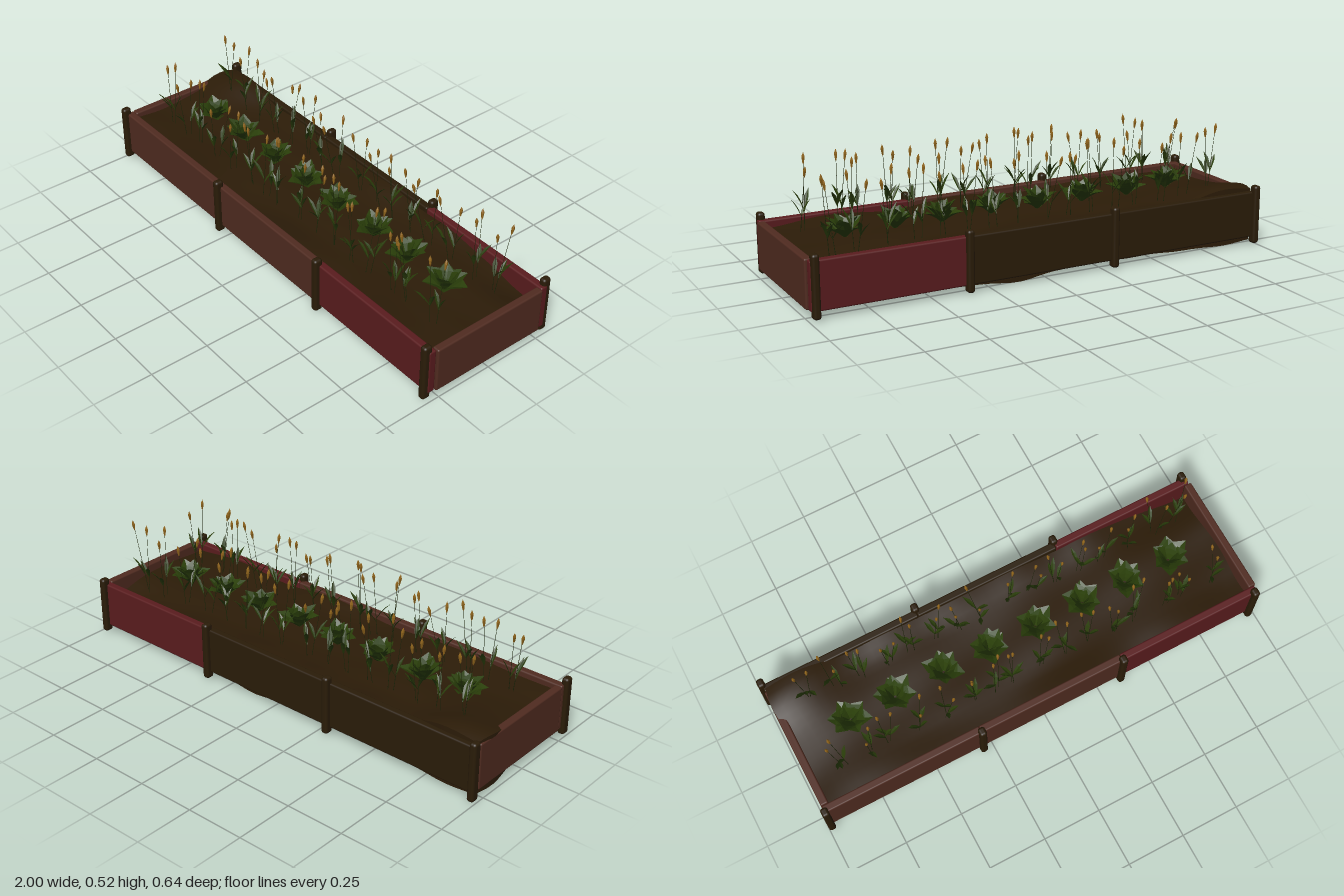
import * as THREE from 'three';
import { mergeGeometries, toCreasedNormals } from 'three/addons/utils/BufferGeometryUtils.js';
import { RoundedBoxGeometry } from 'three/addons/geometries/RoundedBoxGeometry.js';

const material = (name, color, extra = {}) => {
  const m = new THREE.MeshStandardMaterial({ color, ...extra });
  m.name = name;
  return m;
};

// Small seeded random source
function seeded(seed) {
  let s = seed;
  return (lo = 0, hi = 1) => {
    s = (s * 16807) % 2147483647;
    return lo + (hi - lo) * (s / 2147483647);
  };
}

const bell = (v, centre, width) => Math.exp(-(((v - centre) / width) ** 2));

// Height of the soil surface
function soilTop(x, z) {
  const dip = -0.035 * bell(x, 0.9, 0.25) * bell(z, -0.27, 0.12);
  const mound = 0.05 * bell(x, -0.87, 0.18) * bell(z, -0.2, 0.14);
  const ridge = 0.017 * bell(z, -0.27, 0.07) * (bell(x, -0.15, 0.5) + 0.5 * Math.sin(10 * x) ** 2);
  const frontRidge = 0.018 * bell(z, 0.27, 0.06) * Math.sin(5 * x + 1) ** 2;
  return 0.203 + dip + mound + ridge + frontRidge + 0.005 * Math.sin(9 * x + 11 * z) * Math.cos(14 * z - 4 * x);
}

function soilBottom(x, z) {
  const reach = THREE.MathUtils.clamp((0.3 - z) / 0.3, 0.15, 1);
  const sag = 0.022 * bell(x, 0.14, 0.15) + 0.016 * bell(x, -0.8, 0.28) + 0.004 * Math.sin(13 * x) ** 2;
  return 0.029 - reach * sag * (1 + 0.08 * Math.sin(30 * z));
}

// Lumpy block of earth with uneven sides
function soilGeometry() {
  const g = new THREE.BoxGeometry(1.92, 1, 0.53, 48, 1, 16);
  const p = g.attributes.position;
  for (let i = 0; i < p.count; i++) {
    const x = p.getX(i), y = p.getY(i), z = p.getZ(i);
    const bulge = -0.018 * bell(x, -0.96, 0.1) * bell(z, -0.2, 0.12);
    const sideX = 0.006 * Math.sin(17 * z + 1) * Math.abs(x) + bulge;
    const narrow = 1 - (z < 0 && y > 0 ? 0.07 : 0.02) * bell(x, 0.95, 0.25)
      + (z < 0 ? 0.05 : 0) * bell(x, -0.82, 0.15);
    p.setXYZ(i, x + sideX - 0.006, y > 0 ? soilTop(x, z) : soilBottom(x, z),
      z * (narrow + 0.01 * Math.sin(11 * x)));
  }
  return toCreasedNormals(g, 0.8);
}

// Creased leaf growing outward along +z, starting at angle lean from vertical
function leaf(length, width, lean, bend, tip = 0) {
  const steps = [[0, 0.25], [0.35, 0.85], [0.65, 1], [1, tip]];
  const rows = [];
  let y = 0, z = 0, last = 0;
  for (const [t, w] of steps) {
    const a = lean + bend * t;
    y += (t - last) * length * Math.cos(a);
    z += (t - last) * length * Math.sin(a);
    last = t;
    const half = width * w / 2;
    const fold = half * 0.35;
    rows.push([[-half, y + fold * Math.sin(a), z - fold * Math.cos(a)], [0, y, z],
      [half, y + fold * Math.sin(a), z - fold * Math.cos(a)]]);
  }
  const out = [];
  for (let r = 0; r < rows.length - 1; r++) {
    for (let c = 0; c < 2; c++) {
      const a = rows[r][c], b = rows[r][c + 1], d = rows[r + 1][c], e = rows[r + 1][c + 1];
      out.push(...a, ...b, ...e, ...a, ...e, ...d);
    }
  }
  const g = new THREE.BufferGeometry();
  g.setAttribute('position', new THREE.Float32BufferAttribute(out, 3));
  g.computeVertexNormals();
  return g;
}

export function createModel() {
  const model = new THREE.Group();
  model.name = 'planterBed';
  const brown = material('brownWood', 0x502b20);
  const red = material('redWood', 0x5a1c1e);
  const dark = material('darkWood', 0x2a1c08);
  const earth = material('earth', 0x2c1c08);
  const leafy = { side: THREE.DoubleSide, flatShading: true };
  const rosetteGreen = material('rosetteGreen', 0x2b400a, leafy);
  const bladeGreen = material('bladeGreen', 0x2a3d0a, leafy);
  const stemGreen = material('stemGreen', 0x1e2608);
  const seedBrown = material('seedBrown', 0x91651c, { flatShading: true });

  const add = (name, geometry, mat, x = 0, y = 0, z = 0, parent = model) => {
    const mesh = new THREE.Mesh(geometry, mat);
    mesh.name = name;
    mesh.position.set(x, y, z);
    parent.add(mesh);
    return mesh;
  };

  // Posts and side boards
  const postX = [-0.985, -0.293, 0.352, 0.973];
  const boardEnds = [-0.985, -0.293, 0.352, 0.991];
  const boardY = 0.134, boardH = 0.197, thick = 0.033;
  for (const side of [1, -1]) {
    const label = side > 0 ? 'front' : 'back';
    const colours = side > 0 ? [brown, brown, red] : [dark, dark, red];
    for (const x of postX) {
      add(label + 'Post', new RoundedBoxGeometry(0.03, 0.25, 0.038, 3, 0.011), dark, x, 0.135, side * 0.299);
    }
    for (let i = 0; i < 3; i++) {
      const w = boardEnds[i + 1] - boardEnds[i];
      add(label + 'Board', new RoundedBoxGeometry(w, boardH, thick, 2, 0.007), colours[i],
        boardEnds[i] + w / 2, boardY, side * 0.281);
    }
  }

  // End boards
  for (const x of [-0.972, 0.983]) {
    add('endBoard', new RoundedBoxGeometry(thick, boardH, 0.528, 2, 0.007), brown, x, boardY, 0);
  }

  add('soil', soilGeometry(), earth);

  const rand = seeded(4711);

  // Leafy cupped rosettes along the middle
  [-0.73, -0.53, -0.31, -0.1, 0.11, 0.33, 0.53, 0.74].forEach((x, n) => {
    const parts = [];
    const rings = [[6, 0.1, 0.066, 0.65, 0.45], [5, 0.104, 0.064, 0.42, 0.3], [4, 0.096, 0.055, 0.18, 0.3]];
    rings.forEach(([count, length, width, lean, bend], ring) => {
      for (let i = 0; i < count; i++) {
        const g = leaf(length * rand(0.82, 1.04), width, lean + rand(-0.14, 0.14), bend, 0.08);
        g.translate(0, 0, 0.006);
        parts.push(g.rotateY((i + ring * 0.5) / count * Math.PI * 2 + n + rand(-0.25, 0.25)));
      }
    });
    add('rosette', mergeGeometries(parts), rosetteGreen, x, soilTop(x, 0) + 0.008, rand(-0.008, 0.008));
  });

  // Tall grasses with seed heads, in a row on each side
  const headProfile = [[0, 0], [0.0035, 0.008], [0.0068, 0.03], [0.005, 0.038], [0, 0.05]]
    .map(([r, y]) => new THREE.Vector2(r, y));
  const up = new THREE.Vector3(0, 1, 0);
  for (const rowZ of [0.155, -0.15]) {
    for (let n = 0; n < 16; n++) {
      const x = -0.83 + n * 0.111 + rand(-0.025, 0.025);
      const ground = soilTop(x, rowZ) - 0.01;
      const plant = new THREE.Group();
      plant.name = 'grassPlant';
      plant.position.set(x, ground, rowZ);
      model.add(plant);
      const blades = [], stems = [], heads = [];
      for (let i = 0; i < 2; i++) {
        const base = new THREE.Vector3(rand(-0.02, 0.02), 0, rand(-0.013, 0.013));
        const top = new THREE.Vector3(base.x + rand(-0.035, 0.035), rand(0.415, 0.48) - ground,
          base.z + rand(-0.03, 0.03) + rand(-0.025, 0.025));
        const dir = top.clone().sub(base);
        const turn = new THREE.Quaternion().setFromUnitVectors(up, dir.clone().normalize());
        const mid = base.clone().add(top).multiplyScalar(0.5);
        stems.push(new THREE.CylinderGeometry(0.0009, 0.0016, dir.length(), 4)
          .applyQuaternion(turn).translate(mid.x, mid.y, mid.z));
        heads.push(new THREE.LatheGeometry(headProfile, 5)
          .applyQuaternion(turn).translate(top.x, top.y - 0.005, top.z));
        // Blades fan out from partway up each stem
        for (let k = 0; k < 2; k++) {
          const at = base.clone().addScaledVector(dir, rand(0.26, 0.34));
          blades.push(leaf(rand(0.075, 0.1), 0.018, rand(0.25, 0.55), 0.25)
            .rotateY(k * Math.PI + rand(0, 3)).translate(at.x, at.y, at.z));
        }
      }
      add('grassStems', mergeGeometries(stems), stemGreen, 0, 0, 0, plant);
      add('grassBlades', mergeGeometries(blades), bladeGreen, 0, 0, 0, plant);
      add('seedHeads', mergeGeometries(heads), seedBrown, 0, 0, 0, plant);
    }
  }
  return model;
}
